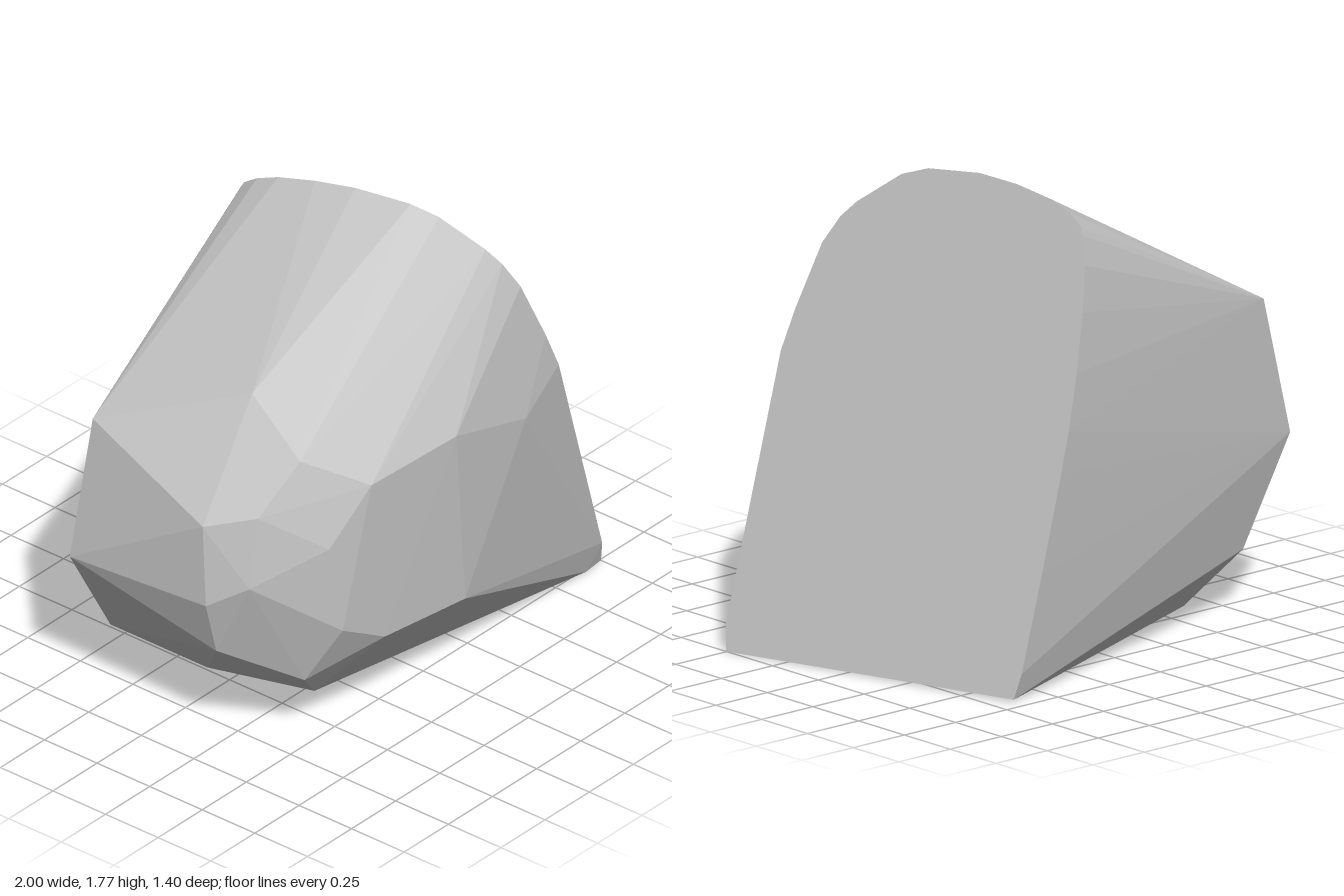
import * as THREE from 'three';
import { ConvexGeometry } from 'three/addons/geometries/ConvexGeometry.js';

// Flat cut side: x follows from a tilted plane
const onCut = (z, y) => new THREE.Vector3(0.862 + 0.275 * z - 0.367 * y, y, z);

// Outline of the cut side as (z, y)
const cutOutline = [
  [0.505, 0], [0.535, 0.1], [0.57, 0.6], [0.605, 1.05], [0.592, 1.2], [0.555, 1.44],
  [0.51, 1.54], [0.46, 1.6], [0.31, 1.72], [0.21, 1.755], [0, 1.77], [-0.16, 1.755],
  [-0.31, 1.725], [-0.4, 1.69], [-0.46, 1.65], [-0.48, 1.62], [-0.52, 1.52], [-0.56, 1.36],
  [-0.6, 1.15], [-0.63, 0.95], [-0.645, 0.8], [-0.675, 0.45], [-0.7, 0.1], [-0.695, 0.01],
];

// Corners of the rounded, chipped body
const bodyCorners = [
  // back edge
  [-0.52, 1.35, -0.34], [-0.87, 1.16, -0.34], [-1, 0.63, -0.34], [-0.77, 0.23, -0.34], [-0.48, 0.07, -0.34],
  // top
  [-0.61, 1.36, 0.2], [-0.47, 1.32, 0.37], [-0.66, 1.2, 0.47],
  // blunt end
  [-0.95, 0.97, 0.25], [-0.84, 1.02, 0.42], [-0.9, 0.75, 0.43], [-0.98, 0.66, 0.29], [-0.92, 0.44, 0.29],
  // front
  [-0.47, 1.08, 0.65], [-0.05, 1.11, 0.7], [0.38, 0.97, 0.67], [-0.65, 0.87, 0.6],
  [-0.61, 0.515, 0.63], [-0.4, 0.4, 0.655], [0, 0.39, 0.7], [0.4, 0.54, 0.635],
  // underside
  [-0.67, 0.28, 0.5], [-0.77, 0.23, 0.12], [-0.52, 0.13, 0.42], [-0.36, 0.06, 0.1],
  [0.3, 0, 0.1], [0.9, 0.005, 0.52],
];

export function createModel() {
  const group = new THREE.Group();
  group.name = 'rock';
  const stone = new THREE.MeshStandardMaterial({ color: 0xc0c0c0 });
  stone.name = 'stone grey';

  const points = [
    ...cutOutline.map(([z, y]) => onCut(z, y)),
    ...bodyCorners.map((p) => new THREE.Vector3(...p)),
  ];
  const boulder = new THREE.Mesh(new ConvexGeometry(points), stone);
  boulder.name = 'boulder';
  group.add(boulder);
  return group;
}
